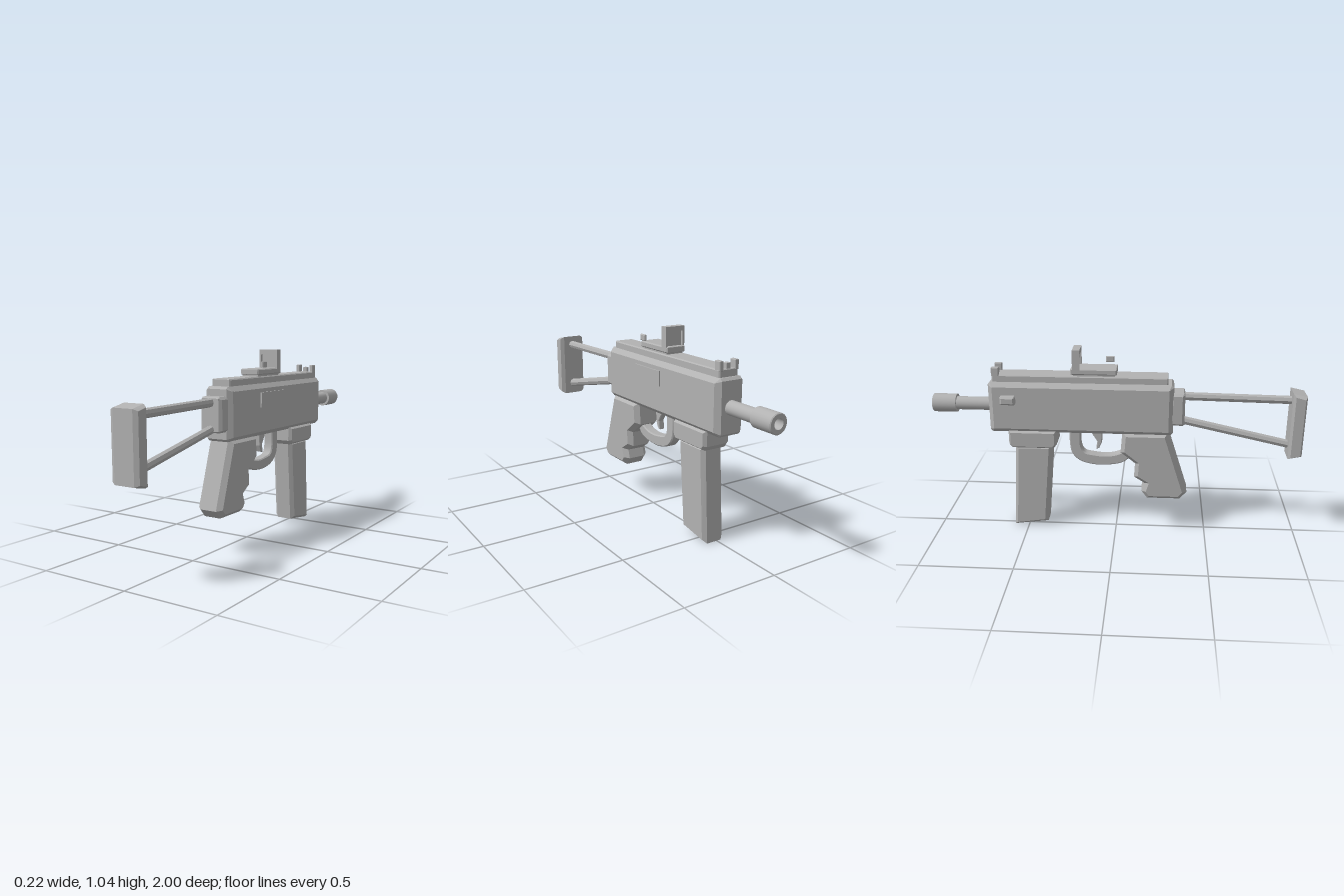
import * as THREE from 'three';

const CX = 0.018; // the model's mid-plane in x

export function createModel() {
  const root = new THREE.Group();
  const grey = new THREE.MeshStandardMaterial({ color: 0xb2b2b2 });

  const add = (name, geometry, parent = root) => {
    const mesh = new THREE.Mesh(geometry, grey);
    mesh.name = name;
    parent.add(mesh);
    return mesh;
  };

  // Side outline from [z, y] points
  const outline = (pts) => new THREE.Shape(pts.map(([z, y]) => new THREE.Vector2(-z, y)));

  // Side outline extruded from x0 to x1, with chamfered rims
  const slab = (name, shape, x0, x1, bevelX = 0, inset = bevelX, parent = root) => {
    const g = new THREE.ExtrudeGeometry(shape, {
      depth: x1 - x0 - 2 * bevelX, bevelEnabled: bevelX > 0, bevelSegments: 1,
      bevelThickness: bevelX, bevelSize: inset, bevelOffset: -inset, curveSegments: 16,
    });
    g.rotateY(Math.PI / 2).translate(x0 + bevelX, 0, 0);
    return add(name, g, parent);
  };

  // Box with every edge chamfered by c
  const block = (name, [x0, x1], [y0, y1], [z0, z1], c, parent = root) => {
    const k = c * 0.5;
    const pts = c > 0
      ? [[z1, y0 + k], [z1 - k, y0], [z0 + k, y0], [z0, y0 + k],
        [z0, y1 - k], [z0 + k, y1], [z1 - k, y1], [z1, y1 - k]]
      : [[z1, y0], [z0, y0], [z0, y1], [z1, y1]];
    return slab(name, outline(pts), x0, x1, c, c, parent);
  };

  // Receiver, top rail, side plate and charging knob
  block('receiver', [-0.065, 0.1], [0.58, 0.86], [-0.682, 0.307], 0.025);
  block('topRail', [-0.037, 0.075], [0.85, 0.897], [-0.66, 0.275], 0.006);
  block('sidePlate', [0.098, 0.107], [0.735, 0.815], [-0.215, 0.02], 0);
  block('chargingKnob', [-0.11, -0.068], [0.752, 0.798], [-0.61, -0.53], 0.01);
  block('chargingStem', [-0.072, -0.06], [0.762, 0.788], [-0.6, -0.54], 0);

  // Front sight: two ears and a shorter middle post
  const frontSight = new THREE.Group();
  frontSight.name = 'frontSight';
  root.add(frontSight);
  for (const s of [-1, 1]) {
    const x = CX + s * 0.045;
    block('sightEar', [x - 0.011, x + 0.011], [0.89, 0.937], [-0.662, -0.622], 0.003, frontSight);
  }
  block('sightPost', [CX - 0.013, CX + 0.013], [0.89, 0.925], [-0.655, -0.63], 0.003, frontSight);

  // Rear sight: base, hollow frame with a recessed pane, and adjuster
  const rearSight = new THREE.Group();
  rearSight.name = 'rearSight';
  root.add(rearSight);
  block('sightFoot', [-0.03, 0.067], [0.89, 0.912], [-0.225, -0.005], 0, rearSight);
  block('sightBase', [-0.037, 0.075], [0.905, 0.937], [-0.24, 0.005], 0.006, rearSight);
  const rect = (Type, x0, x1, y0, y1) => new Type([[x0, y0], [x1, y0], [x1, y1], [x0, y1]]
    .map((p) => new THREE.Vector2(...p)));
  const frame = rect(THREE.Shape, -0.037, 0.0755, 0.93, 1.037);
  frame.holes.push(rect(THREE.Path, -0.026, 0.0645, 0.937, 1.012));
  add('sightFrame', new THREE.ExtrudeGeometry(frame, { depth: 0.04, bevelEnabled: false })
    .translate(0, 0, -0.23), rearSight);
  block('sightPane', [-0.028, 0.066], [0.935, 1.014], [-0.215, -0.205], 0, rearSight);
  block('sightAdjuster', [0.079, 0.093], [0.944, 0.977], [-0.06, -0.015], 0.004, rearSight);

  // Barrel and bored muzzle
  const barrel = new THREE.CylinderGeometry(0.036, 0.036, 0.24, 24, 1, true);
  barrel.rotateX(Math.PI / 2).translate(CX, 0.718, -0.77);
  add('barrel', barrel);
  const ring = [[0, 0.07], [0.026, 0.07], [0.026, 0.07], [0.026, 0], [0.026, 0], [0.046, 0], [0.046, 0],
    [0.05, 0.004], [0.05, 0.004], [0.05, 0.13], [0.05, 0.13], [0.03, 0.13]];
  // Each straight stretch of the profile is its own lathe, to keep the rims sharp
  const muzzle = new THREE.Group();
  muzzle.name = 'muzzle';
  root.add(muzzle);
  for (let i = 0; i < ring.length - 1; i++) {
    const [a, b] = [ring[i], ring[i + 1]];
    if (a[0] === b[0] && a[1] === b[1]) continue;
    const pts = [a, b].map(([r, h]) => new THREE.Vector2(r, h));
    add('muzzleFace', new THREE.LatheGeometry(pts, 24)
      .rotateX(Math.PI / 2).translate(CX, 0.718, -1), muzzle);
  }

  // Folding stock: bracket, two bars and butt plate
  block('stockBracket', [-0.045, 0.082], [0.632, 0.812], [0.29, 0.367], 0.014);
  const bar = (name, y0, y1) => {
    const from = new THREE.Vector3(CX, y0, 0.35);
    const to = new THREE.Vector3(CX, y1, 0.945);
    const dir = to.clone().sub(from);
    const g = new THREE.CylinderGeometry(0.023, 0.023, dir.length(), 8, 1, true).toNonIndexed();
    g.computeVertexNormals();
    const mesh = add(name, g);
    mesh.position.copy(from).add(to).multiplyScalar(0.5);
    mesh.quaternion.setFromUnitVectors(new THREE.Vector3(0, 1, 0), dir.normalize());
  };
  bar('upperStockBar', 0.784, 0.774);
  bar('lowerStockBar', 0.65, 0.52);
  slab('buttPlate', outline([[1, 0.473], [0.927, 0.457], [0.927, 0.826], [1, 0.81]]),
    -0.06, 0.096, 0.022, 0.012);

  // Pistol grip with finger notches
  slab('grip', outline([[0.393, 0.238], [0.356, 0.195], [0.174, 0.195], [0.142, 0.238],
    [0.158, 0.286], [0.1, 0.323], [0.105, 0.404], [0.025, 0.468], [0.035, 0.59], [0.28, 0.59]]),
  -0.055, 0.093, 0.026, 0.022);

  // Trigger guard and trigger
  const guard = new THREE.Shape();
  const v = (z, y) => new THREE.Vector2(-z, y);
  guard.moveTo(0.195, 0.59);
  guard.splineThru([v(-0.195, 0.5), v(-0.175, 0.455), v(-0.125, 0.442), v(-0.06, 0.436),
    v(0, 0.445), v(0.045, 0.468)]);
  guard.lineTo(-0.085, 0.44);
  guard.splineThru([v(0.04, 0.4), v(-0.03, 0.382), v(-0.12, 0.38), v(-0.2, 0.402),
    v(-0.245, 0.45), v(-0.256, 0.52), v(-0.256, 0.59)]);
  slab('triggerGuard', guard, CX - 0.028, CX + 0.028, 0.006);
  slab('trigger', outline([[-0.075, 0.59], [-0.08, 0.51], [-0.095, 0.475], [-0.112, 0.47],
    [-0.105, 0.515], [-0.13, 0.555], [-0.135, 0.59]]), CX - 0.017, CX + 0.017, 0.004);

  // Magazine well and magazine
  slab('magazineWell', outline([[-0.323, 0.51], [-0.34, 0.487], [-0.568, 0.487], [-0.585, 0.51],
    [-0.585, 0.59], [-0.323, 0.59]]), -0.06, 0.096, 0.018, 0.012);
  slab('magazine', outline([[-0.388, 0.028], [-0.58, 0.001], [-0.552, 0.5], [-0.35, 0.5]]),
    -0.044, 0.08, 0.02, 0.018);

  return root;
}
